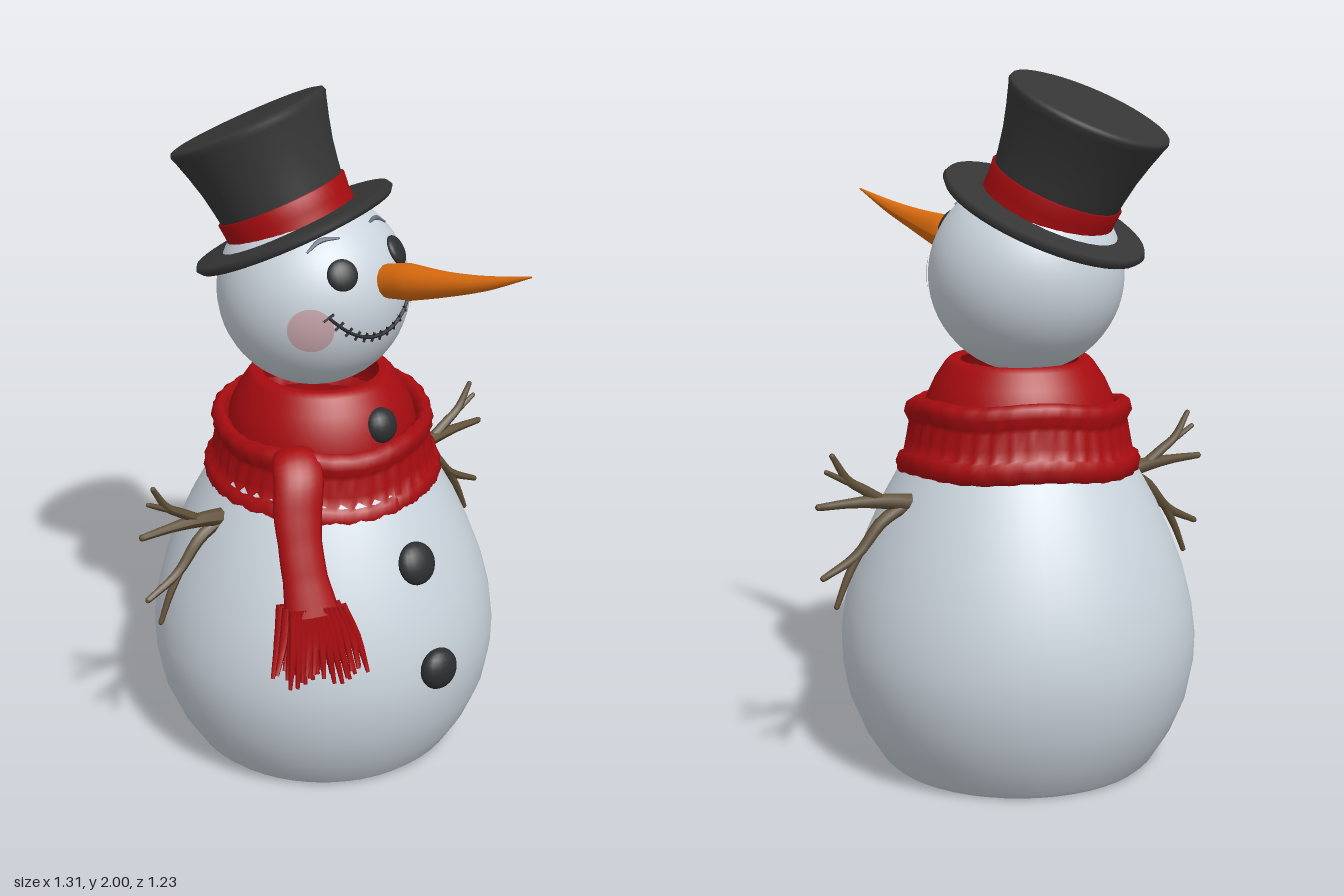
import * as THREE from 'three';

const V = (x, y, z) => new THREE.Vector3(x, y, z);
const UP = V(0, 1, 0);

function mat(name, color, side = THREE.FrontSide) {
  const m = new THREE.MeshStandardMaterial({ color, side });
  m.name = name;
  return m;
}

function lathe(points, segments = 48) {
  return new THREE.LatheGeometry(points.map(([r, y]) => new THREE.Vector2(r, y)), segments);
}

// Tube with a radius per control point; `wide` stretches the section along one direction
function taper(points, radii, { segs = 16, sides = 10, wide = null, ratio = 1 } = {}) {
  const curve = new THREE.CatmullRomCurve3(points);
  const geo = new THREE.TubeGeometry(curve, segs, 1, sides, false);
  const pos = geo.attributes.position, nor = geo.attributes.normal;
  const p = V(), n = V();
  for (let i = 0; i < pos.count; i++) {
    const t = Math.floor(i / (sides + 1)) / segs;
    curve.getPointAt(t, p);
    n.fromBufferAttribute(nor, i);
    const f = t * (radii.length - 1), k = Math.min(Math.floor(f), radii.length - 2);
    const r = THREE.MathUtils.lerp(radii[k], radii[k + 1], f - k);
    if (wide) n.addScaledVector(wide, n.dot(wide) * (ratio - 1));
    p.addScaledVector(n, r);
    pos.setXYZ(i, p.x, p.y, p.z);
  }
  geo.computeVertexNormals();
  return geo;
}

export function createModel() {
  const root = new THREE.Group();
  root.name = 'snowman';
  const snow = mat('snow', 0xcbd4dd);
  const red = mat('scarf red', 0xa80c10, THREE.DoubleSide);
  const black = mat('hat black', 0x363636, THREE.DoubleSide);
  const coal = mat('coal', 0x2d2e30);
  const orange = mat('carrot orange', 0xd96a0e);
  const wood = mat('twig brown', 0x5e4e36, THREE.DoubleSide);
  const pink = mat('cheek pink', 0xc8a6ad);
  const grey = mat('brow grey', 0x6c7784);

  const add = (name, geo, m, parent = root) => {
    const mesh = new THREE.Mesh(geo, m);
    mesh.name = name;
    parent.add(mesh);
    return mesh;
  };

  // Body with a flat base
  const base = add('baseDisc', new THREE.CircleGeometry(0.385, 48), snow);
  base.rotation.x = Math.PI / 2;
  base.position.set(-0.005, 0.002, -0.09);
  const body = add('body', lathe([[0.385, 0.002], [0.405, 0.02], [0.455, 0.1], [0.497, 0.2], [0.516, 0.3],
    [0.519, 0.38], [0.508, 0.47], [0.483, 0.57], [0.445, 0.67], [0.4, 0.77], [0.35, 0.86],
    [0.3, 0.94], [0.25, 1.0]]), snow);
  body.position.set(-0.005, 0, -0.09);

  // Head, and a helper that finds the face surface at a front position
  const HEAD = V(-0.015, 1.43, -0.115), R = 0.279;
  add('head', new THREE.SphereGeometry(R, 40, 28), snow).position.copy(HEAD);
  const face = (x, y, lift = 0) => {
    const dx = x - HEAD.x, dy = y - HEAD.y;
    const d = V(dx, dy, Math.sqrt(Math.max(R * R - dx * dx - dy * dy, 0))).normalize();
    return d.multiplyScalar(R + lift).add(HEAD);
  };

  // Flattened coal lump facing along a direction
  const lump = (name, p, dir, r, depth) => {
    const m = add(name, new THREE.SphereGeometry(1, 18, 12), coal);
    m.scale.set(r, r, depth);
    m.position.copy(p);
    m.quaternion.setFromUnitVectors(V(0, 0, 1), dir.clone().normalize());
  };
  for (const [name, x, y] of [['rightEye', -0.102, 1.55], ['leftEye', 0.122, 1.565]]) {
    const p = face(x, y);
    lump(name, p, p.clone().sub(HEAD), 0.045, 0.018);
  }
  lump('lowerButton', V(-0.004, 0.413, 0.44), V(0, 0.08, 1), 0.062, 0.038);
  lump('middleButton', V(-0.004, 0.713, 0.335), V(0, 0.42, 1), 0.063, 0.035);
  lump('collarButton', V(0.005, 1.085, 0.163), V(0, 0.3, 1), 0.052, 0.038);

  // Cheeks: thin caps lying on the head
  for (const [name, x, y] of [['rightCheek', -0.195, 1.4], ['leftCheek', 0.208, 1.43]]) {
    const m = add(name, new THREE.SphereGeometry(R + 0.004, 24, 6, 0, Math.PI * 2, 0, 0.235), pink);
    m.position.copy(HEAD);
    m.quaternion.setFromUnitVectors(UP, face(x, y).sub(HEAD).normalize());
  }

  // Eyebrows
  const brows = { rightBrow: [[-0.165, 1.605], [-0.12, 1.632], [-0.068, 1.635]],
    leftBrow: [[0.055, 1.648], [0.105, 1.645], [0.148, 1.622]] };
  for (const name in brows)
    add(name, taper(brows[name].map(([x, y]) => face(x, y, 0.002)), [0.003, 0.008, 0.003], { sides: 6 }), grey);

  // Smile with short stitches
  const smile = [];
  for (let i = 0; i <= 12; i++) {
    const u = i / 6 - 1;
    smile.push([0.005 + 0.16 * u, 1.362 + 0.09 * Math.pow(Math.abs(u), 2.1) + 0.012 * u]);
  }
  add('mouth', taper(smile.map(([x, y]) => face(x, y, 0.003)), [0.005, 0.006, 0.005], { segs: 32, sides: 6 }), coal);
  smile.forEach(([x, y], i) => {
    const u = i / 6 - 1, dx = -0.013 * u, dy = 0.015 - 0.005 * Math.abs(u);
    add('mouthStitch', taper([face(x - dx, y - dy, 0.004), face(x + dx, y + dy, 0.004)],
      [0.004, 0.004], { segs: 2, sides: 5 }), coal);
  });

  // Carrot nose
  add('nose', taper([V(0.036, 1.493, 0.09), V(0.05, 1.512, 0.17), V(0.075, 1.547, 0.35), V(0.1, 1.58, 0.48),
    V(0.133, 1.628, 0.617)], [0.046, 0.052, 0.034, 0.019, 0.002], { segs: 24, sides: 14 }), orange);

  // Tilted top hat
  const hat = new THREE.Group();
  hat.name = 'hat';
  hat.position.set(-0.04, 1.6, -0.17);
  hat.quaternion.setFromUnitVectors(UP, V(-0.24, 1, -0.4).normalize());
  root.add(hat);
  add('hatBrim', lathe([[0.17, -0.018], [0.25, -0.018], [0.295, -0.012], [0.306, 0.002], [0.298, 0.016],
    [0.25, 0.014], [0.18, 0.02]]), black, hat);
  add('hatCrown', lathe([[0.185, 0.08], [0.192, 0.13], [0.202, 0.19], [0.217, 0.25], [0.233, 0.305],
    [0.239, 0.322], [0.235, 0.332], [0.22, 0.336], [0, 0.336]]), black, hat);
  add('hatBand', lathe([[0.193, 0.01], [0.191, 0.05], [0.195, 0.093], [0.184, 0.096]]), red, hat);

  // Collar under the chin
  add('collar', lathe([[0.285, 0.94], [0.282, 1.02], [0.268, 1.08], [0.245, 1.13], [0.215, 1.175],
    [0.2, 1.19], [0.17, 1.185]]), red).position.set(-0.008, 0, -0.092);

  // Scarf wrap: two rolled edges with a ribbed band, tilted down at the front
  const wrap = lathe([[0.27, 1.0], [0.28, 1.055], [0.3, 1.075], [0.32, 1.062], [0.326, 1.035], [0.313, 1.008],
    [0.314, 0.995], [0.322, 0.95], [0.328, 0.92], [0.343, 0.915], [0.352, 0.89], [0.346, 0.862],
    [0.325, 0.848], [0.29, 0.86]], 120);
  const wp = wrap.attributes.position;
  for (let i = 0; i < wp.count; i++) {
    const x = wp.getX(i), y = wp.getY(i), z = wp.getZ(i);
    const a = Math.atan2(x, z), inBand = y > 0.917 && y < 1.0;
    const k = 1 + (inBand ? 0.014 * Math.sin(40 * a) : 0.01 * Math.sin(30 * a + y * 60)) - 0.008 * Math.sin(3 * a);
    wp.setXYZ(i, x * k, y + 0.05 * x - 0.075 * z + 0.006 * Math.sin(5 * a), z * k);
  }
  wrap.computeVertexNormals();
  add('scarfWrap', wrap, red).position.set(-0.005, 0, -0.088);

  // Scarf tail draped over the wrap, with a fringe
  const wide = V(0.9, 0, 0.43).normalize();
  add('scarfTail', taper([V(-0.22, 1.0, 0.05), V(-0.25, 1.035, 0.09), V(-0.28, 0.99, 0.145), V(-0.308, 0.9, 0.175),
    V(-0.325, 0.78, 0.215), V(-0.33, 0.63, 0.265)], [0.025, 0.034, 0.034, 0.03, 0.031, 0.038],
  { segs: 30, sides: 16, wide, ratio: 2.1 }), red);
  for (let row = 0; row < 3; row++) for (let i = 0; i < 12; i++) {
    const u = (i + row * 0.33) / 5.8 - 1, w = Math.sin(i * 7.3 + row * 2.1);
    const at = (y, s, z) => V(-0.33 + wide.x * u * s, y, z + wide.z * u * s + (row - 1) * 0.022);
    const end = at(0.462 + 0.025 * w, 0.125, 0.32);
    end.x -= 0.015 + 0.012 * w;
    add('fringeStrand', taper([at(0.66, 0.075, 0.26), at(0.56, 0.1 + 0.006 * w, 0.288), end],
      [0.013, 0.013, 0.006], { segs: 6, sides: 5 }), red);
  }

  // Twig arms: [points in x, y], [radii]
  const twigs = [
    ['armStem', [[0.28, 0.785], [0.38, 0.812], [0.46, 0.825], [0.55, 0.83], [0.645, 0.83]], [0.032, 0.027, 0.021, 0.014, 0.01]],
    ['upperTwig', [[0.44, 0.82], [0.51, 0.865], [0.555, 0.895], [0.602, 0.968]], [0.016, 0.015, 0.012, 0.008]],
    ['upperSideTwig', [[0.53, 0.878], [0.57, 0.898], [0.62, 0.925]], [0.011, 0.009, 0.007]],
    ['lowerTwig', [[0.36, 0.81], [0.45, 0.765], [0.53, 0.68], [0.635, 0.627]], [0.02, 0.018, 0.014, 0.009]],
    ['lowerSideTwig', [[0.52, 0.69], [0.56, 0.62], [0.595, 0.54]], [0.013, 0.011, 0.008]],
  ];
  for (const side of [-1, 1]) {
    const arm = new THREE.Group();
    arm.name = side > 0 ? 'leftArm' : 'rightArm';
    arm.position.z = -0.105;
    root.add(arm);
    for (const [name, pts, radii] of twigs) {
      add(name, taper(pts.map(([x, y]) => V(side * x, y, 0)), radii, { segs: 12, sides: 7 }), wood, arm);
      const [tx, ty] = pts[pts.length - 1];
      add('twigTip', new THREE.SphereGeometry(radii[radii.length - 1], 7, 5), wood, arm).position.set(side * tx, ty, 0);
    }
  }
  return root;
}
